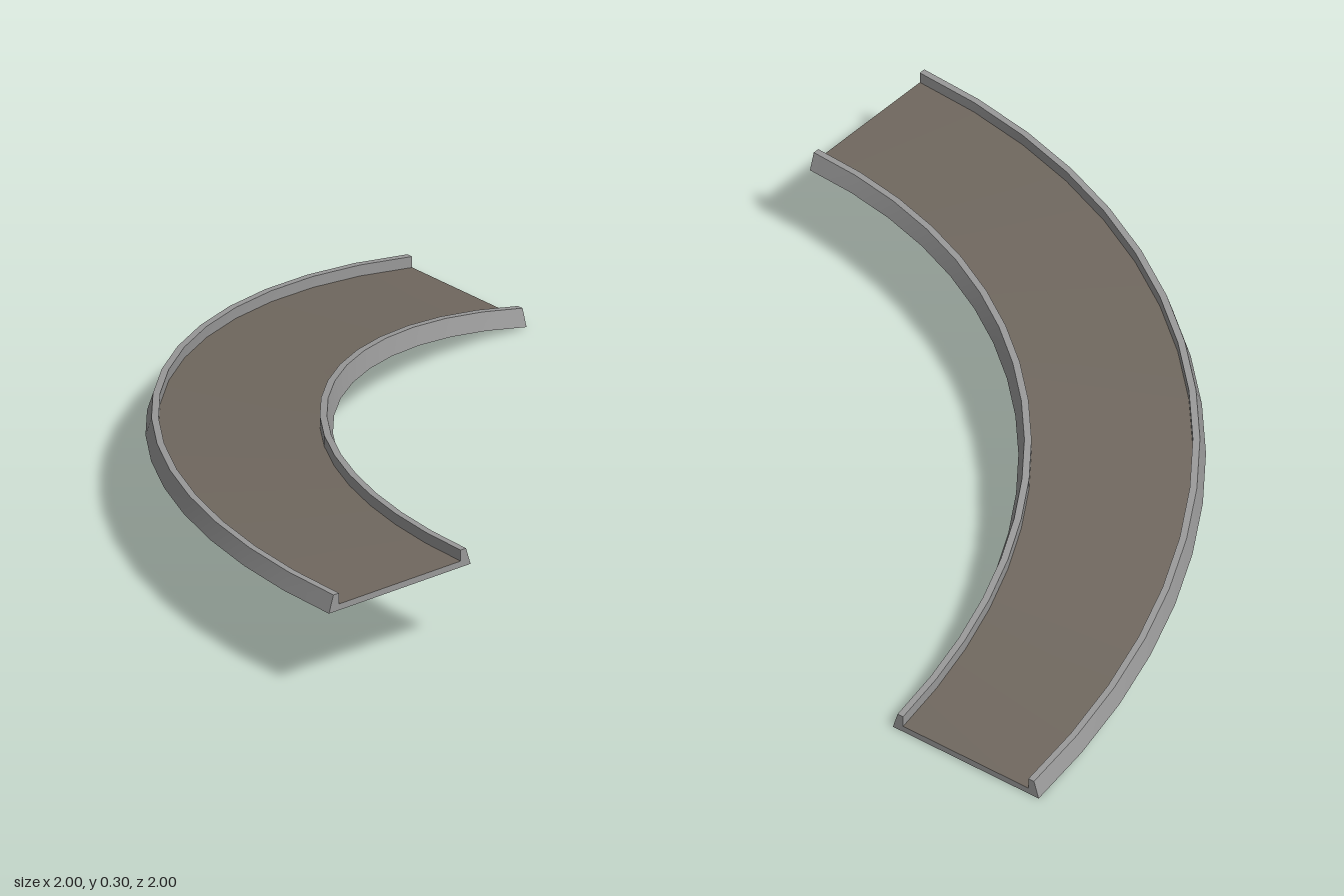
import * as THREE from 'three';
import { mergeGeometries } from 'three/addons/utils/BufferGeometryUtils.js';

const SEGMENTS = 16;
const RISE = 0.25;

// Point at radius r and height h of the cross-section, at fraction t along the quarter turn
function place(r, h, t) {
  const a = t * Math.PI / 2;
  return [1 - r * Math.cos(a), h + RISE * (1 - Math.pow(t, 2.3)), 1 - r * Math.sin(a)];
}

function build(positions, index) {
  const g = new THREE.BufferGeometry();
  g.setAttribute('position', new THREE.Float32BufferAttribute(positions, 3));
  g.setIndex(index);
  g.computeVertexNormals();
  return g;
}

// One ribbon swept along the ramp from an edge of the cross-section
function ribbon(a, b) {
  const positions = [], index = [];
  for (let i = 0; i <= SEGMENTS; i++) {
    const t = i / SEGMENTS;
    positions.push(...place(...a, t), ...place(...b, t));
    if (i < SEGMENTS) {
      const k = i * 2;
      index.push(k, k + 1, k + 2, k + 1, k + 3, k + 2);
    }
  }
  return build(positions, index);
}

// Sweep of an open or closed chain of cross-section points, with sharp edges between ribbons
function sweep(points) {
  return mergeGeometries(points.slice(1).map((p, i) => ribbon(points[i], p)));
}

// Flat end face filling the whole cross-section
function cap(profile, t) {
  const outline = profile.map(([r, h]) => new THREE.Vector2(r, h));
  const faces = THREE.ShapeUtils.triangulateShape(outline, []);
  const index = faces.flatMap(([a, b, c]) => (t === 0 ? [a, c, b] : [a, b, c]));
  return build(profile.flatMap(([r, h]) => place(r, h, t)), index);
}

export function createModel() {
  const group = new THREE.Group();
  const kerbGrey = new THREE.MeshStandardMaterial({ color: 0x999999 });
  kerbGrey.name = 'kerb grey';
  const roadBrown = new THREE.MeshStandardMaterial({ color: 0x70685f });
  roadBrown.name = 'road brown';

  const add = (name, geometry, material) => {
    const mesh = new THREE.Mesh(geometry, material);
    mesh.name = name;
    group.add(mesh);
  };

  // Cross-section (radius, height), running counter-clockwise
  const outerKerb = [[2, 0], [1.984, 0.05], [1.965, 0.05], [1.965, 0.018]];
  const innerKerb = [[1.535, 0.018], [1.535, 0.05], [1.516, 0.05], [1.5, 0]];
  const profile = [...outerKerb, ...innerKerb];

  // Kerbs along both edges
  add('outerKerb', sweep(outerKerb), kerbGrey);
  add('innerKerb', sweep(innerKerb), kerbGrey);

  // Road surface and underside
  add('roadSurface', sweep([outerKerb[3], innerKerb[0]]), roadBrown);
  add('underside', sweep([innerKerb[3], outerKerb[0]]), kerbGrey);

  // End faces
  add('upperEnd', cap(profile, 0), kerbGrey);
  add('lowerEnd', cap(profile, 1), kerbGrey);
  return group;
}
